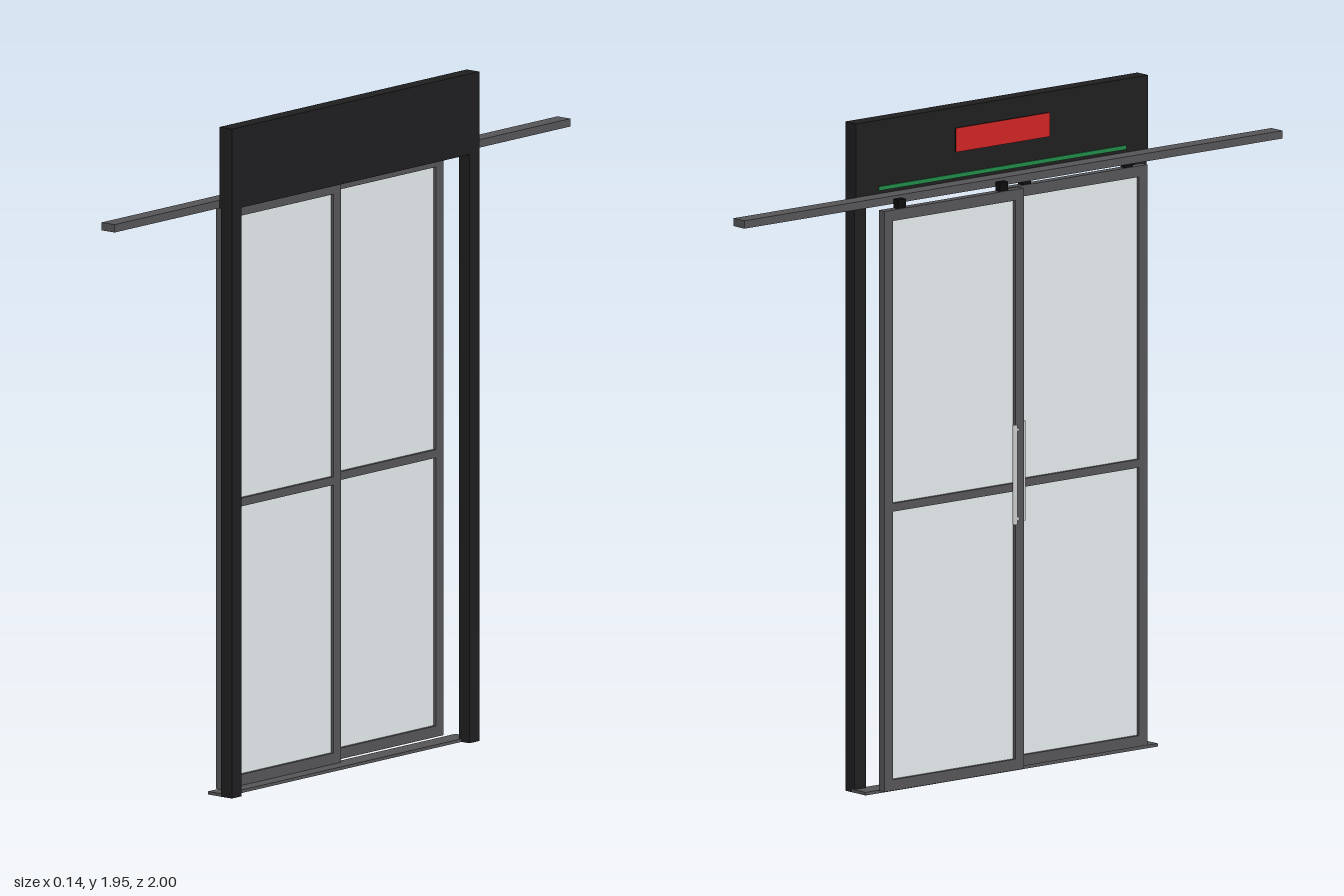
import * as THREE from 'three';

const mat = (color) => new THREE.MeshStandardMaterial({ color });
const dark = mat(0x1e1e20), frameGrey = mat(0x555558), black = mat(0x0c0c0e);
const glass = mat(0xe2e8ea), steel = mat(0xe0e0e2), red = mat(0xd02424), green = mat(0x1f8a48);

// Box given by its extents along each axis
function box(parent, name, material, [x0, x1], [y0, y1], [z0, z1]) {
  const mesh = new THREE.Mesh(new THREE.BoxGeometry(x1 - x0, y1 - y0, z1 - z0), material);
  mesh.position.set((x0 + x1) / 2, (y0 + y1) / 2, (z0 + z1) / 2);
  mesh.name = name;
  parent.add(mesh);
}

// Round bar centred at (x, y, z)
function rod(parent, name, radius, length, x, y, z, alongX = false) {
  const mesh = new THREE.Mesh(new THREE.CylinderGeometry(radius, radius, length, 16), steel);
  if (alongX) mesh.rotation.z = Math.PI / 2;
  mesh.position.set(x, y, z);
  mesh.name = name;
  parent.add(mesh);
}

// Sliding leaf: frame, middle bar, two panes, hangers and pull handle
function makeLeaf(name, x0, side) {
  const leaf = new THREE.Group();
  leaf.name = name;
  const x = [x0, x0 + 0.025], mid = x0 + 0.0125;
  const span = (a, b) => (side > 0 ? [a, b] : [-b, -a]);
  const bottom = 0.01, top = 1.702, inner = -0.016, outer = 0.502, w = 0.032;

  box(leaf, 'outerStile', frameGrey, x, [bottom, top], span(outer - w, outer));
  box(leaf, 'meetingStile', frameGrey, x, [bottom, top], span(inner, inner + w));
  const opening = span(inner + w, outer - w);
  box(leaf, 'bottomRail', frameGrey, x, [bottom, 0.042], opening);
  box(leaf, 'middleRail', frameGrey, x, [0.823, 0.847], opening);
  box(leaf, 'topRail', frameGrey, x, [1.67, top], opening);
  for (const y of [[0.042, 0.823], [0.847, 1.67]]) {
    box(leaf, 'glassPane', glass, [mid - 0.003, mid + 0.003], y, opening);
  }
  for (const z of [0.055, 0.435]) {
    box(leaf, 'hanger', black, [x0 + 0.003, x0 + 0.023], [1.7, 1.728], span(z - 0.015, z + 0.015));
  }

  // Pull handle on the back face
  const handle = new THREE.Group();
  handle.name = 'pullHandle';
  const hz = side * 0.028, hx = x0 - 0.013;
  rod(handle, 'grip', 0.007, 0.29, hx, 0.875, hz);
  for (const y of [0.745, 1.005]) rod(handle, 'standoff', 0.005, 0.016, x0 - 0.006, y, hz * 0.6, true);
  for (const y of [0.745, 1.005]) box(handle, 'bracket', steel, [hx - 0.003, hx + 0.003], [y - 0.004, y + 0.004], side > 0 ? [0.014, hz] : [hz, -0.014]);
  leaf.add(handle);
  return leaf;
}

export function createModel() {
  const model = new THREE.Group();
  model.name = 'slidingDoor';

  // Fixed surround
  box(model, 'header', dark, [0.025, 0.072], [1.715, 1.95], [-0.543, 0.543]);
  for (const s of [-1, 1]) {
    box(model, 'jamb', dark, [0.032, 0.072], [0, 1.715], s > 0 ? [0.5, 0.543] : [-0.543, -0.5]);
  }
  box(model, 'threshold', frameGrey, [-0.018, 0.042], [0, 0.009], [-0.543, 0.543]);

  // Track that carries both leaves
  box(model, 'track', frameGrey, [-0.026, 0.023], [1.713, 1.736], [-1, 1]);

  // Blank sign with a thin coloured face, and light strip on the back of the header
  box(model, 'signCase', black, [0.021, 0.026], [1.82, 1.89], [-0.175, 0.175]);
  box(model, 'signFace', red, [0.0203, 0.021], [1.82, 1.89], [-0.175, 0.175]);
  box(model, 'lightStrip', green, [0.021, 0.026], [1.745, 1.757], [-0.46, 0.46]);

  // Leaves run in two planes so they can pass each other
  model.add(makeLeaf('rearLeaf', -0.053, -1), makeLeaf('frontLeaf', -0.022, 1));
  return model;
}
